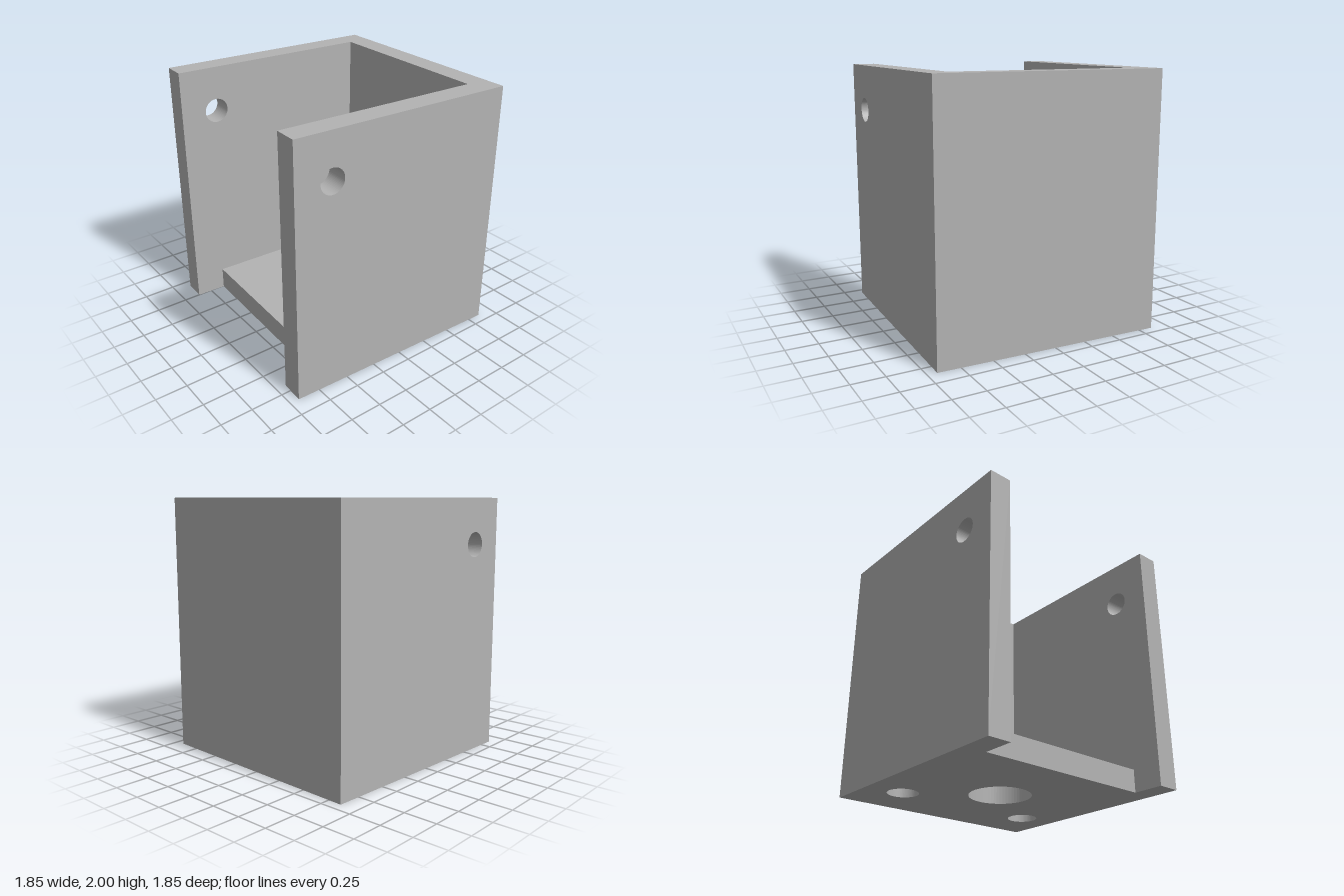
import * as THREE from 'three';

const HALF = 0.895;        // half of the square footprint
const WALL = 0.178;        // wall and floor thickness
const INNER = HALF - WALL; // inner face of the walls
const HEIGHT = 2;
const FLOOR_FRONT = 0.655;

// Rectangular plate with round holes [x, y, radius], extruded by the wall thickness
function plate(x0, y0, x1, y1, holes) {
  const shape = new THREE.Shape();
  shape.moveTo(x0, y0);
  shape.lineTo(x1, y0);
  shape.lineTo(x1, y1);
  shape.lineTo(x0, y1);
  shape.closePath();
  for (const [x, y, r] of holes) {
    const hole = new THREE.Path();
    hole.absarc(x, y, r, 0, Math.PI * 2, true);
    shape.holes.push(hole);
  }
  return new THREE.ExtrudeGeometry(shape, { depth: WALL, bevelEnabled: false, curveSegments: 32 });
}

export function createModel() {
  const model = new THREE.Group();
  model.name = 'openBracketBox';
  const grey = new THREE.MeshStandardMaterial({ color: 0xb3b3b3 });
  grey.name = 'grey';

  // The whole bracket is turned slightly about the vertical axis
  const body = new THREE.Group();
  body.name = 'bracket';
  body.rotation.y = -0.0368;
  model.add(body);

  const add = (name, geometry) => {
    const mesh = new THREE.Mesh(geometry, grey);
    mesh.name = name;
    body.add(mesh);
  };

  // Side walls, each with a pin hole near the upper front
  for (const [name, outerX] of [['leftWall', HALF], ['rightWall', -INNER]]) {
    const wall = plate(-HALF, 0, HALF, HEIGHT, [[0.6, 1.645, 0.096]]);
    wall.rotateY(-Math.PI / 2);
    wall.translate(outerX, 0, 0);
    add(name, wall);
  }

  // Back wall between the sides
  const back = plate(-INNER, 0, INNER, HEIGHT, []);
  back.translate(0, 0, -HALF);
  add('backWall', back);

  // Floor with a large centre hole and two small rear holes
  const floor = plate(-INNER, -FLOOR_FRONT, INNER, INNER, [
    [0, 0.06, 0.24],
    [-0.595, 0.48, 0.12],
    [0.595, 0.48, 0.12],
  ]);
  floor.rotateX(-Math.PI / 2);
  add('floor', floor);

  return model;
}
